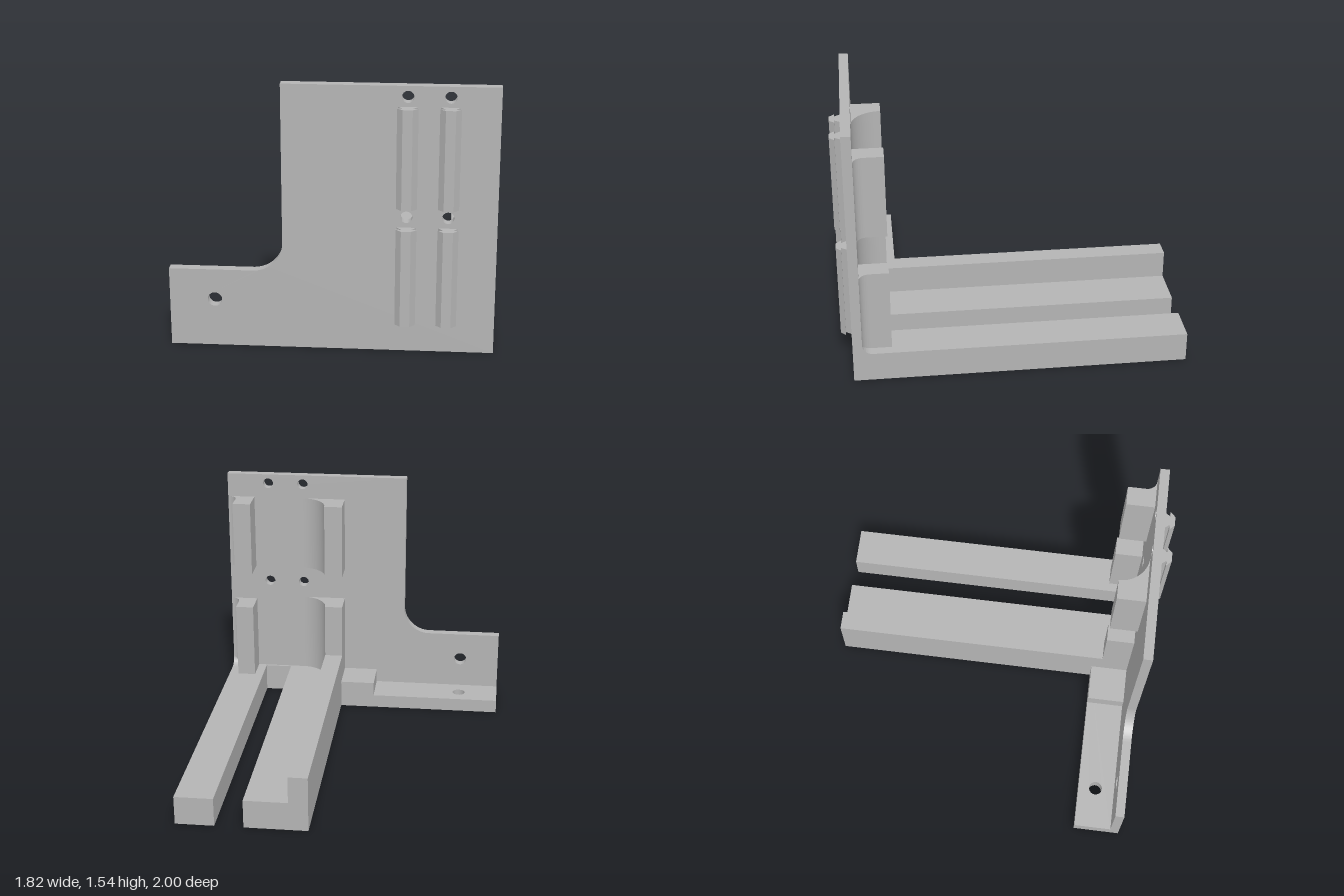
import * as THREE from 'three';
import { toCreasedNormals } from 'three/addons/utils/BufferGeometryUtils.js';

const BACK = 0.88, FRONT = 0.935, FLOOR = 0.175;

function extrude(shape, depth) {
  return new THREE.ExtrudeGeometry(shape, { depth, bevelEnabled: false, curveSegments: 20 });
}

// Plan shapes are drawn as (x, -z) and raised from y0 to y1
function raise(shape, y0, y1) {
  return extrude(shape, y1 - y0).rotateX(-Math.PI / 2).translate(0, y0, 0);
}

function plan(points) {
  return new THREE.Shape(points.map(([x, z]) => new THREE.Vector2(x, -z)));
}

function drill(shape, x, y, r) {
  shape.holes.push(new THREE.Path().absarc(x, y, r, 0, Math.PI * 2, true));
}

export function createModel() {
  const group = new THREE.Group();
  const grey = new THREE.MeshStandardMaterial({ color: 0xb4b4b4 });
  grey.name = 'grey';

  const add = (name, geometry) => {
    const mesh = new THREE.Mesh(toCreasedNormals(geometry, 0.5), grey);
    mesh.name = name;
    group.add(mesh);
  };

  // Upright plate with a filleted step and mounting holes
  const plate = new THREE.Shape();
  plate.moveTo(-0.91, 0);
  plate.lineTo(0.91, 0);
  plate.lineTo(0.91, 1.54);
  plate.lineTo(-0.27, 1.54);
  plate.lineTo(-0.27, 0.63);
  plate.absarc(-0.44, 0.63, 0.17, 0, -Math.PI / 2, true);
  plate.lineTo(-0.91, 0.46);
  drill(plate, -0.655, 0.28, 0.041);
  for (const x of [0.413, 0.641]) for (const y of [0.8, 1.48]) drill(plate, x, y, 0.033);
  add('frontPlate', extrude(plate, FRONT - BACK).translate(0, 0, BACK));

  // Two floor bars joined at the plate
  add('floorBars', raise(plan([
    [0.135, BACK], [0.91, BACK], [0.91, -1], [0.68, -1],
    [0.68, 0.865], [0.51, 0.865], [0.51, -1], [0.135, -1],
  ]), 0, FLOOR));
  add('barWall', raise(plan([[0.135, 0.71], [0.25, 0.71], [0.25, -1], [0.135, -1]]), FLOOR, 0.34));

  // Side foot with a screw hole and a raised block
  const foot = plan([[-0.91, BACK], [0.135, BACK], [0.135, 0.65], [-0.91, 0.65]]);
  drill(foot, -0.655, -0.76, 0.041);
  add('foot', raise(foot, 0, 0.085));
  add('footBlock', raise(plan([[-0.085, BACK], [0.135, BACK], [0.135, 0.65], [-0.085, 0.65]]), 0.085, FLOOR));

  // Guide posts that flare into the plate with a concave fillet
  const post = (x0, r) => {
    const x1 = x0 + 0.115;
    const s = new THREE.Shape();
    s.moveTo(x0, -BACK);
    s.lineTo(x0, -0.71);
    s.lineTo(x1, -0.71);
    s.lineTo(x1, r - BACK);
    s.absarc(x1 + r, r - BACK, r, Math.PI, Math.PI * 1.5, false);
    return s;
  };
  for (const [side, x, r, lowTop] of [['right', 0.135, 0.17, 0.69], ['left', 0.735, 0.06, 0.665]]) {
    add(side + 'LowerPost', raise(post(x, r), FLOOR, lowTop));
    add(side + 'UpperPost', raise(post(x, r), 0.9, 1.385));
  }

  // Small fillet where the outer bar meets the plate
  const fillet = new THREE.Shape();
  fillet.moveTo(-BACK, FLOOR);
  fillet.lineTo(-BACK + 0.06, FLOOR);
  fillet.absarc(-BACK + 0.06, FLOOR + 0.06, 0.06, -Math.PI / 2, -Math.PI, true);
  add('barFillet', extrude(fillet, 0.06).rotateY(Math.PI / 2).translate(0.85, 0, 0));

  // Barbed clip rails on the front
  const half = [[0.053, FRONT], [0.027, 0.97], [0.057, 0.97], [0.027, 1]];
  for (const x of [0.413, 0.641]) {
    const outline = [
      ...half.map(([w, z]) => [x + w, z]),
      ...half.slice().reverse().map(([w, z]) => [x - w, z]),
    ];
    for (const y of [0.175, 0.86]) add('clipRail', raise(plan(outline), y, y + 0.565));
  }

  return group;
}
